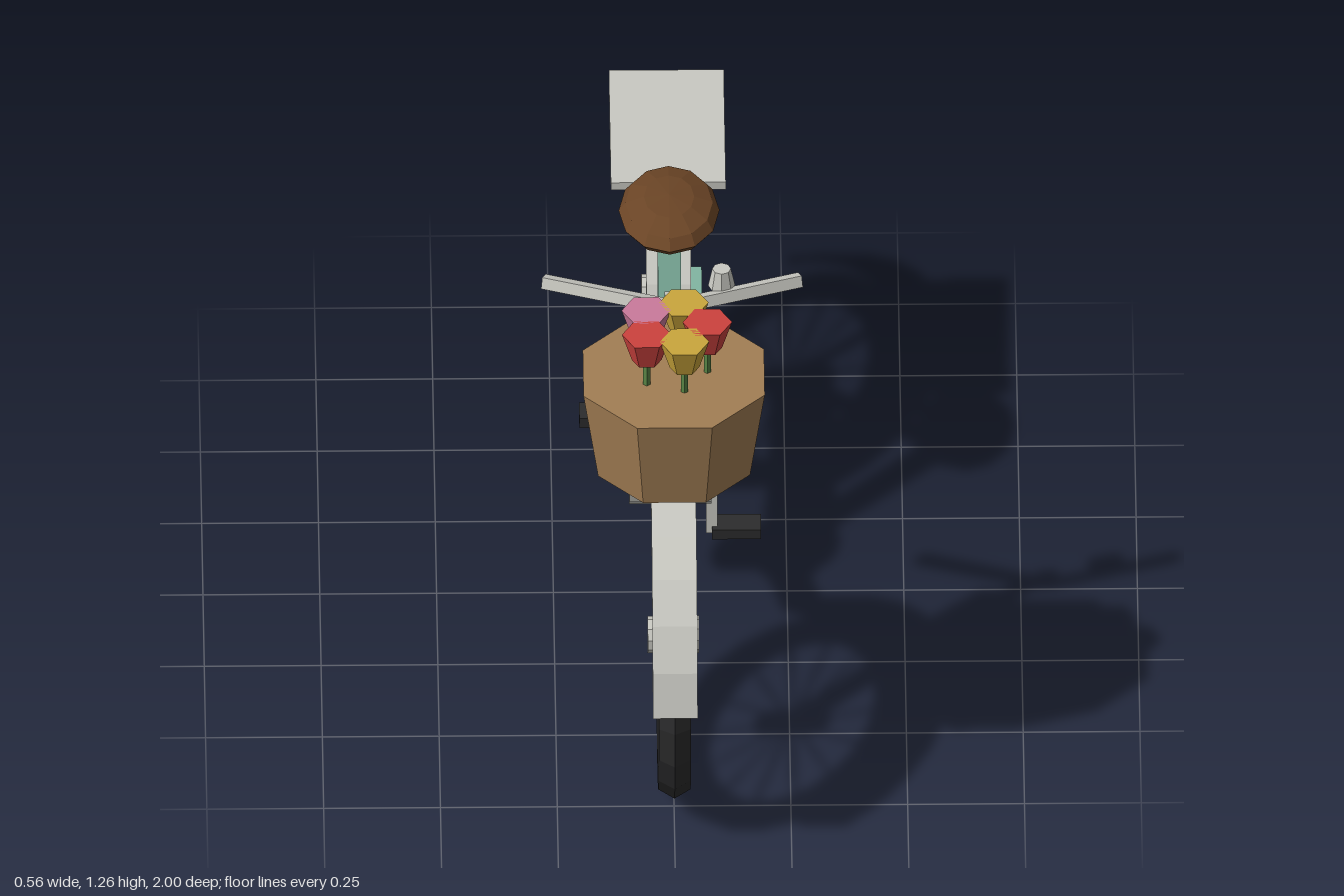
import * as THREE from 'three';

const mat = (name, color) => {
  const m = new THREE.MeshStandardMaterial({ color, flatShading: true });
  m.name = name;
  return m;
};

export function createModel() {
  const teal = mat('teal paint', 0x82b5a2);
  const metal = mat('light metal', 0xc9c9c2);
  const black = mat('rubber black', 0x2c2c2d);
  const wicker = mat('wicker brown', 0xa27e54);
  const leather = mat('saddle leather', 0x6b4526);
  const cream = mat('lamp cream', 0xd0b070);
  const red = mat('petal red', 0xcc423e);
  const yellow = mat('petal yellow', 0xcaa63c);
  const pink = mat('petal pink', 0xca7a9c);
  const green = mat('stem green', 0x5a8646);

  const model = new THREE.Group();
  model.name = 'bicycle';

  const add = (name, geometry, material, x = 0, y = 0, z = 0, parent = model) => {
    const mesh = new THREE.Mesh(geometry, material);
    mesh.name = name;
    mesh.position.set(x, y, z);
    parent.add(mesh);
    return mesh;
  };
  const box = (name, material, w, h, d, x, y, z) =>
    add(name, new THREE.BoxGeometry(w, h, d), material, x, y, z);

  // Square bar between two points: w across, d along the other axis
  const bar = (name, material, a, b, w, d = w) => {
    const p = new THREE.Vector3(...a), q = new THREE.Vector3(...b);
    const mesh = add(name, new THREE.BoxGeometry(w, p.distanceTo(q), d), material);
    mesh.position.copy(p).lerp(q, 0.5);
    mesh.quaternion.setFromUnitVectors(new THREE.Vector3(0, 1, 0), q.sub(p).normalize());
    return mesh;
  };

  // Wheels with tyre, rim, hub and spokes
  const AXLE = 0.36;
  const makeWheel = (name, z) => {
    const wheel = new THREE.Group();
    wheel.name = name;
    wheel.position.set(0, AXLE, z);
    wheel.rotation.y = Math.PI / 2;
    model.add(wheel);
    add('tyre', new THREE.TorusGeometry(0.312, 0.04, 6, 22), black, 0, 0, 0, wheel);
    add('rim', new THREE.TorusGeometry(0.273, 0.018, 6, 22), metal, 0, 0, 0, wheel);
    add('hub', new THREE.CylinderGeometry(0.04, 0.04, 0.11, 10).rotateX(Math.PI / 2), metal, 0, 0, 0, wheel);
    const spoke = new THREE.CylinderGeometry(0.005, 0.005, 0.25, 4).translate(0, 0.145, 0);
    for (let i = 0; i < 14; i++) {
      add('spoke', spoke, metal, 0, 0, 0, wheel).rotation.z = Math.PI / 2 + (i / 14) * Math.PI * 2;
    }
  };

  // Mudguard arc over a wheel
  const makeFender = (name, z) => {
    const start = 0.2, steps = 11, shape = new THREE.Shape();
    const at = (r, i) => {
      const a = start + ((Math.PI - 2 * start) * i) / steps;
      return new THREE.Vector2(Math.cos(a) * r, Math.sin(a) * r);
    };
    const points = [];
    for (let i = 0; i <= steps; i++) points.push(at(0.408, i));
    for (let i = steps; i >= 0; i--) points.push(at(0.386, i));
    shape.setFromPoints(points);
    const g = new THREE.ExtrudeGeometry(shape, { depth: 0.096, bevelEnabled: false });
    g.translate(0, 0, -0.048).rotateY(Math.PI / 2);
    add(name, g, metal, 0, AXLE, z);
  };

  for (const [end, z] of [['front', 0.6], ['rear', -0.597]]) {
    makeWheel(end + 'Wheel', z);
    makeFender(end + 'Fender', z);
  }

  // Frame
  bar('fork', teal, [0, 0.36, 0.6], [0, 0.72, 0.478], 0.04);
  bar('headTube', teal, [0, 0.68, 0.485], [0, 0.97, 0.416], 0.07, 0.065);
  bar('downTubeUpper', teal, [0, 0.72, 0.46], [0, 0.395, 0.2], 0.05);
  bar('downTubeLower', teal, [0, 0.4, 0.215], [0, 0.325, -0.02], 0.05);
  bar('seatTube', teal, [0, 0.32, -0.02], [0, 0.84, -0.19], 0.05);
  bar('seatStay', teal, [0, 0.81, -0.185], [0, 0.36, -0.6], 0.036);
  bar('chainStay', teal, [0, 0.325, -0.02], [0, 0.36, -0.6], 0.036);
  box('chainGuard', teal, 0.025, 0.114, 0.66, 0.062, 0.343, -0.305);

  // Bottom bracket, cranks and pedals
  add('bottomBracket', new THREE.CylinderGeometry(0.07, 0.07, 0.176, 12).rotateZ(Math.PI / 2), metal, 0, 0.32, -0.022);
  for (const s of [1, -1]) {
    box('crank', metal, 0.024, 0.165, 0.026, s * 0.089, 0.32 - s * 0.075, -0.022);
    box('pedal', black, 0.105, 0.025, 0.056, s * 0.142, 0.32 - s * 0.152, -0.024);
  }

  // Saddle
  add('saddle', new THREE.SphereGeometry(1, 12, 6), leather, 0, 0.877, -0.215).scale.set(0.108, 0.043, 0.147);

  // Rear rack
  box('rack', metal, 0.246, 0.02, 0.394, 0, 0.832, -0.555);
  bar('rackStrut', metal, [0, 0.825, -0.725], [0, 0.37, -0.602], 0.018);

  // Handlebar, stem and bell
  bar('stem', metal, [0, 0.95, 0.42], [0, 1.12, 0.397], 0.032);
  for (const s of [1, -1]) {
    bar('handlebar', metal, [0, 1.112, 0.428], [s * 0.275, 1.112, 0.335], 0.026);
  }
  add('bell', new THREE.CylinderGeometry(0.02, 0.029, 0.045, 8), metal, 0.106, 1.142, 0.362);

  // Headlamp
  add('headlamp', new THREE.CylinderGeometry(0.06, 0.046, 0.08, 8).rotateY(Math.PI / 8).rotateX(Math.PI / 2), cream, 0, 0.863, 0.57);

  // Basket
  add('basket', new THREE.CylinderGeometry(0.21, 0.176, 0.226, 8).rotateY(Math.PI / 8), wicker, 0, 1.023, 0.688);

  // Ring of tulips
  const petals = [red, yellow, red, pink, yellow];
  petals.forEach((petal, i) => {
    const a = (i / petals.length) * Math.PI * 2;
    const x = Math.cos(a) * 0.072, z = 0.684 + Math.sin(a) * 0.072;
    add('flowerStem', new THREE.CylinderGeometry(0.008, 0.008, 0.09, 5), green, x, 1.165, z);
    add('flower', new THREE.CylinderGeometry(0.053, 0.032, 0.068, 6).rotateY(Math.PI / 6), petal, x, 1.235, z);
  });

  return model;
}
